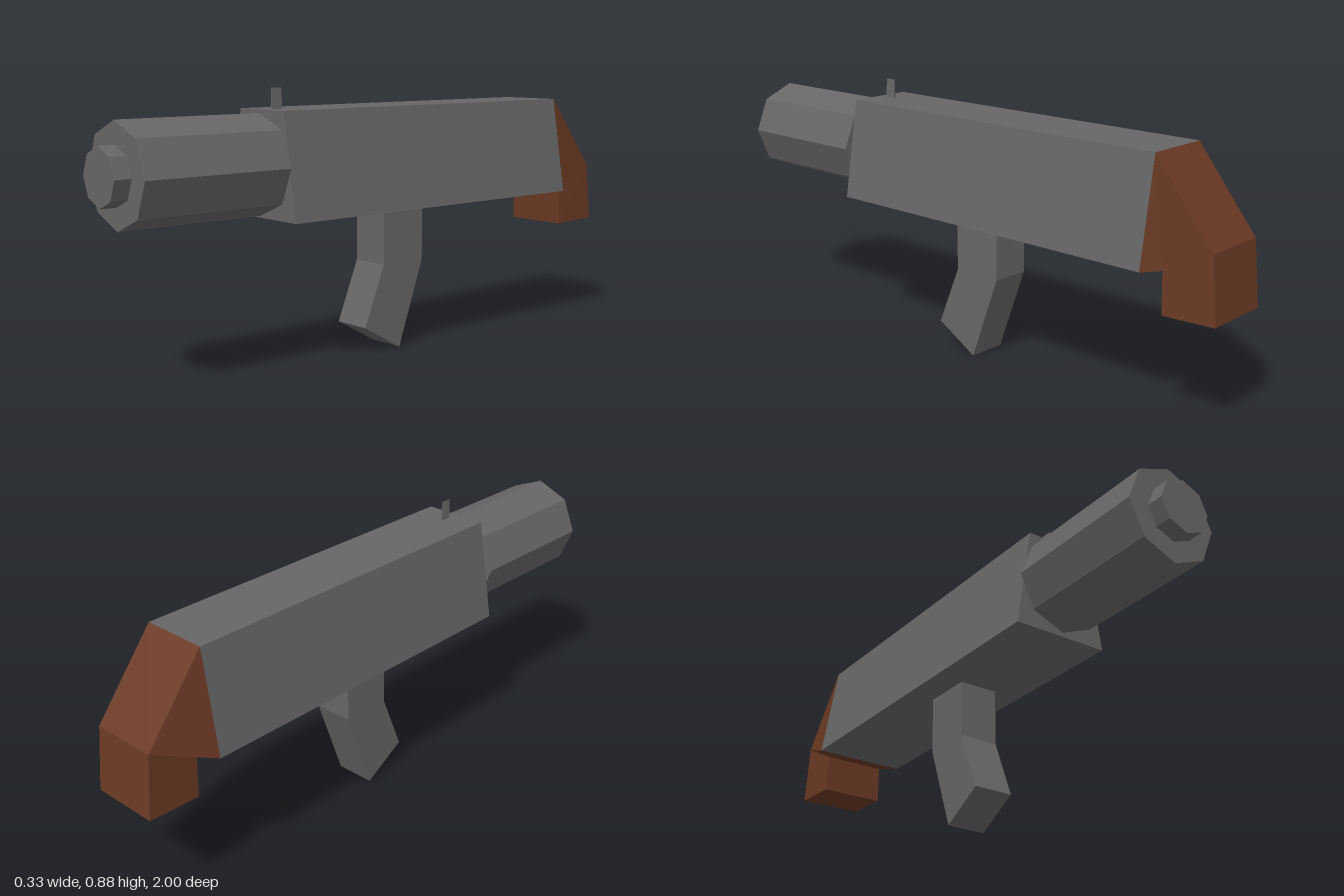
import * as THREE from 'three';

export function createModel() {
  const model = new THREE.Group();
  const grey = new THREE.MeshStandardMaterial({ color: 0x666666, flatShading: true });
  grey.name = 'gunmetal grey';
  const brown = new THREE.MeshStandardMaterial({ color: 0x6b3923, flatShading: true });
  brown.name = 'wood brown';

  const add = (name, geometry, material) => {
    const mesh = new THREE.Mesh(geometry, material);
    mesh.name = name;
    model.add(mesh);
    return mesh;
  };
  // Extrudes an outline along z, from z = 0 to z = depth
  const prism = (points, depth) => new THREE.ExtrudeGeometry(
    new THREE.Shape(points.map(([x, y]) => new THREE.Vector2(x, y))),
    { depth, bevelEnabled: false });

  // Body: tapered block, wider at the bottom
  add('body', prism([[-0.165, 0.478], [0.165, 0.478], [0.11, 0.81], [-0.11, 0.81]], 1.227)
    .translate(0, 0, -0.78), grey);

  // Octagonal barrel sections sharing one axis
  const barrelPart = (name, radius, z0, z1) => add(name,
    new THREE.CylinderGeometry(radius, radius, z1 - z0, 8)
      .rotateX(Math.PI / 2).translate(0, 0.643, (z0 + z1) / 2), grey);
  barrelPart('barrelNeck', 0.105, 0.44, 0.46);
  barrelPart('barrel', 0.157, 0.456, 0.947);
  barrelPart('muzzle', 0.0875, 0.94, 1.0);

  // Front sight: thin wedge tapering to a sharp edge
  add('frontSight', prism([[-0.004, 0.808], [0.004, 0.808], [0, 0.875]], 0.038)
    .translate(0, 0, 0.372), grey);

  // Angled grip: side outline given as z, y
  add('grip', prism([[0.01, 0.48], [-0.162, 0.48], [-0.162, 0.288], [-0.06, 0], [0.091, 0.087], [0.01, 0.288]], 0.136)
    .rotateY(-Math.PI / 2).translate(0.068, 0, 0), grey);

  // Stock: outline points A C E F D B, mirrored left and right
  const outline = [
    [0.11, 0.81, -0.78], [0.11, 0.56, -0.98], [0.113, 0.355, -1],
    [0.113, 0.348, -0.825], [0.11, 0.478, -0.82], [0.165, 0.478, -0.78],
  ];
  const n = outline.length;
  const positions = [1, -1].flatMap((s) => outline.flatMap(([x, y, z]) => [s * x, y, z]));
  const index = [];
  for (let i = 0; i < n; i++) {
    const j = (i + 1) % n;
    index.push(i, j, j + n, i, j + n, i + n);
  }
  // Side faces; the folds run along different diagonals on each side
  index.push(0, 5, 4, 0, 4, 1, 1, 4, 3, 1, 3, 2);
  index.push(...[0, 1, 5, 5, 1, 4, 1, 3, 4, 1, 2, 3].map((k) => k + n));
  const stock = new THREE.BufferGeometry();
  stock.setAttribute('position', new THREE.Float32BufferAttribute(positions, 3));
  stock.setIndex(index);
  const flatStock = stock.toNonIndexed();
  flatStock.computeVertexNormals();
  add('stock', flatStock, brown);

  return model;
}
